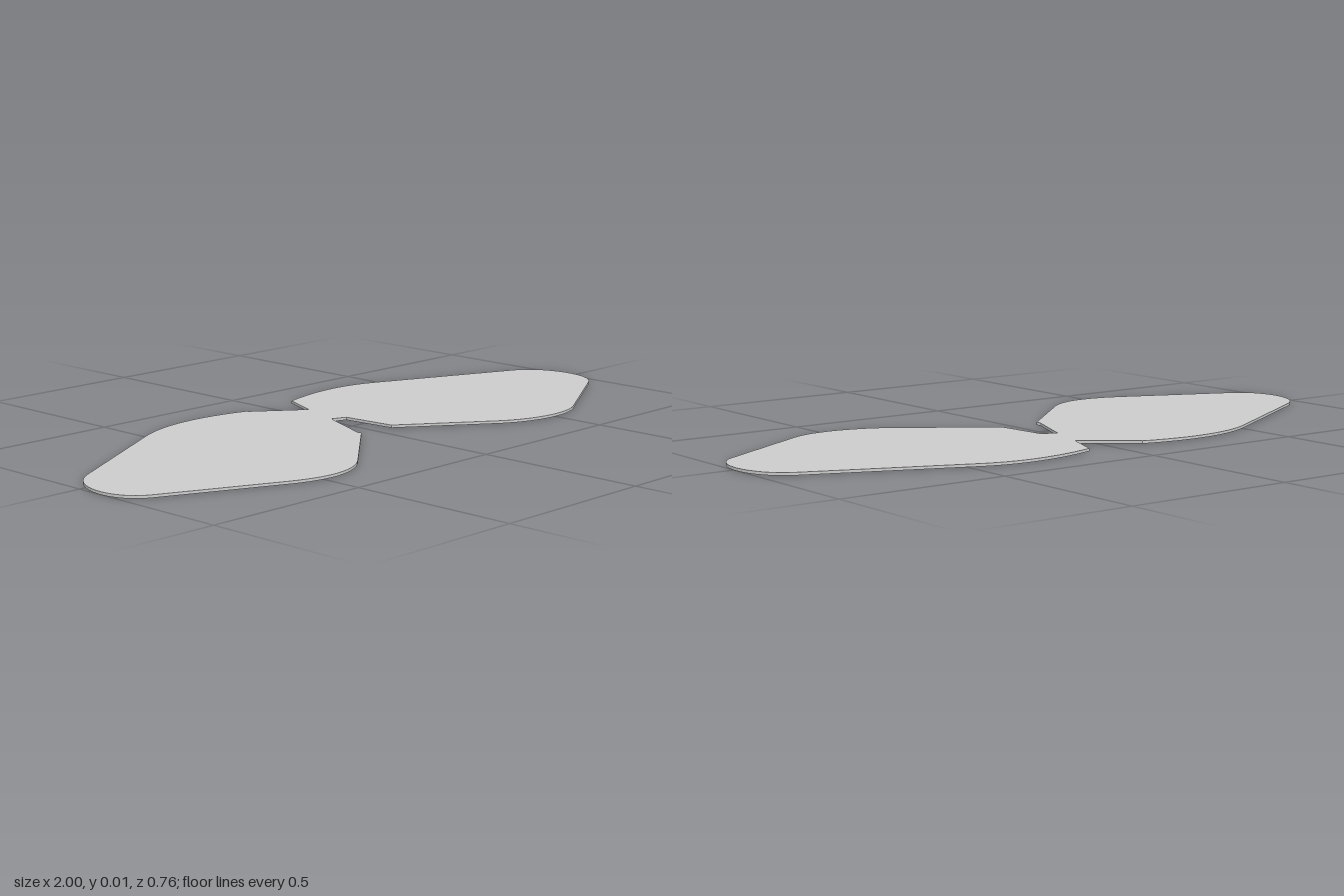
import * as THREE from 'three';
import { toCreasedNormals } from 'three/addons/utils/BufferGeometryUtils.js';

const THICKNESS = 0.008;

// Outline as [x, z] corners; six-number entries are rounded corners (two handles, then the end).
const OUTLINE = [
  // right wing: rounded top, tip and lower lobe
  [-0.1, -0.336],
  [-0.235, -0.376, -0.38, -0.376, -0.505, -0.308],
  [-0.906, -0.081],
  [-1.022, -0.017, -1.03, 0.155, -0.933, 0.199],
  [-0.6, 0.347],
  [-0.51, 0.387, -0.4, 0.402, -0.302, 0.31],
  [-0.07, 0.102],
  [-0.072, 0.088],
  // front notch beside the narrow neck
  [0, -0.084],
  [0.045, -0.068],
  // left wing: lower lobe, tip and rounded top
  [0.06, 0.096],
  [0.307, 0.275],
  [0.4, 0.344, 0.54, 0.36, 0.628, 0.305],
  [0.933, 0.124],
  [1.03, 0.067, 1.02, -0.118, 0.917, -0.163],
  [0.47, -0.349],
  [0.38, -0.387, 0.26, -0.396, 0.094, -0.342],
  // back notch
  [0.045, -0.22],
  [-0.095, -0.328],
];

function outlineShape() {
  const shape = new THREE.Shape();
  OUTLINE.forEach((p, i) => {
    if (i === 0) shape.moveTo(p[0], -p[1]);
    else if (p.length === 2) shape.lineTo(p[0], -p[1]);
    else shape.bezierCurveTo(p[0], -p[1], p[2], -p[3], p[4], -p[5]);
  });
  shape.closePath();
  return shape;
}

export function createModel() {
  const group = new THREE.Group();
  group.name = 'wingPlate';

  // thin flat plate lying on the ground, both wings joined by the neck
  const geometry = new THREE.ExtrudeGeometry(outlineShape(), {
    depth: THICKNESS, bevelEnabled: false, curveSegments: 16,
  });
  geometry.rotateX(-Math.PI / 2);
  const plate = new THREE.Mesh(
    toCreasedNormals(geometry, Math.PI / 6),
    new THREE.MeshStandardMaterial({ color: 0xcccccc })
  );
  plate.name = 'wings';
  group.add(plate);
  return group;
}
